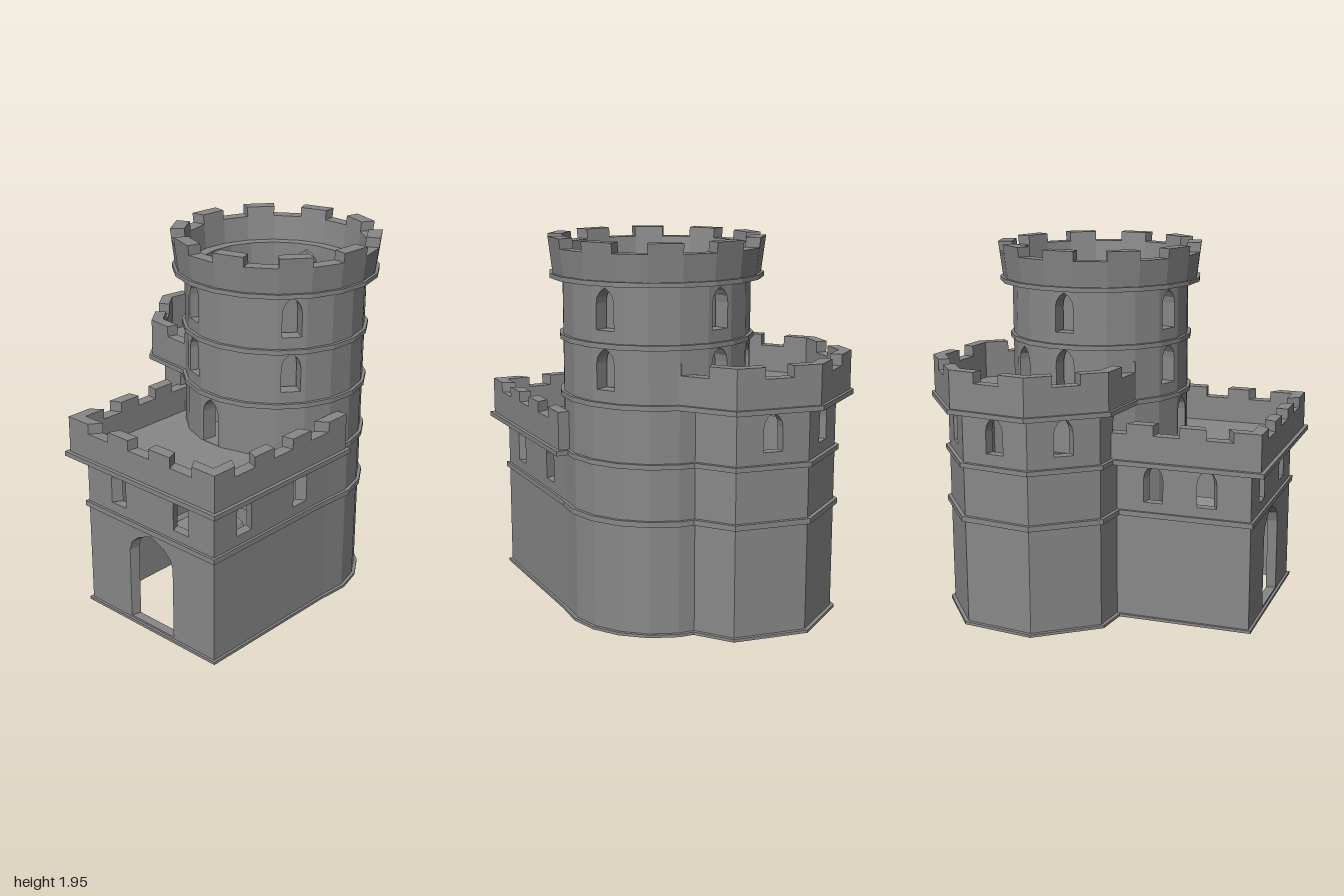
import * as THREE from 'three';

const material = new THREE.MeshStandardMaterial({ color: 0x888888, flatShading: true });
const CX = 0.285;                 // shared x of the round and octagonal towers
const C30 = Math.cos(Math.PI / 6);

// Plan outlines as [x, z], running left to right as seen from outside
const ngon = (n, r, cz) => Array.from({ length: n }, (_, i) => {
  const a = i / n * Math.PI * 2;
  return [CX + r * Math.cos(a), cz - r * Math.sin(a)];
});
const round = r => ngon(20, r, 0);
const octagon = r => ngon(8, r, -0.42);
const hallPoint = (u, v) => [C30 * u + 0.5 * v, -0.5 * u + C30 * v];
const hall = g => [
  hallPoint(-0.72 - g, 0.607 + g), hallPoint(0.148 + g, 0.607 + g),
  hallPoint(0.148 + g, -0.29 - g), hallPoint(-0.72 - g, -0.29 - g),
];

const mix = (a, b, t) => a + (b - a) * t;
const mix2 = (p, q, t) => [mix(p[0], q[0], t), mix(p[1], q[1], t)];

// Pointed-arch outline, as a hole or a shape
function arch(x, w, y0, y1, rise, path = new THREE.Path()) {
  const s = w / 2;
  path.moveTo(x - s, y0);
  path.lineTo(x - s, y1 - rise);
  path.quadraticCurveTo(x - s, y1 - rise * 0.35, x, y1);
  path.quadraticCurveTo(x + s, y1 - rise * 0.35, x + s, y1 - rise);
  path.lineTo(x + s, y0);
  path.closePath();
  return path;
}

// Closed recess behind an arched opening; rotY turns its +z outwards
function niche(name, [x, z], rotY, w, y0, y1, rise, depth) {
  const group = new THREE.Group();
  group.name = name;
  const t = 0.012;
  const outline = () => arch(0, w + 2 * t, y0 - t, y1 + t, rise, new THREE.Shape());
  const lining = outline();
  lining.holes.push(arch(0, w, y0, y1, rise));
  const add = (part, shape, from, length) => {
    const geo = new THREE.ExtrudeGeometry(shape, { depth: length, bevelEnabled: false, curveSegments: 3 });
    const mesh = new THREE.Mesh(geo.translate(0, 0, from), material);
    mesh.name = name + part;
    group.add(mesh);
  };
  add('Lining', lining, -depth, depth - 0.02);
  add('Back', outline(), -depth - t, t);
  group.position.set(x, 0, z);
  group.rotation.y = rotY;
  return group;
}

// A ring of mitred wall panels between an outer and an inner outline.
// tops(i) lists the heights of equal divisions of side i, holes(i, length) its openings.
function ring(name, outer, inner, y0, y1, { outerTop = outer, innerTop = inner, tops, holes } = {}) {
  const group = new THREE.Group();
  group.name = name;
  const n = outer.length;
  for (let i = 0; i < n; i++) {
    const j = (i + 1) % n;
    const len = Math.hypot(outer[j][0] - outer[i][0], outer[j][1] - outer[i][1]);
    const heights = tops ? tops(i) : [y1];
    const shape = new THREE.Shape();
    shape.moveTo(0, y0);
    shape.lineTo(len, y0);
    for (let k = heights.length - 1; k >= 0; k--) {
      shape.lineTo(len * (k + 1) / heights.length, heights[k]);
      shape.lineTo(len * k / heights.length, heights[k]);
    }
    shape.closePath();
    if (holes) shape.holes.push(...holes(i, len));
    const geo = new THREE.ExtrudeGeometry(shape, { depth: 1, bevelEnabled: false, curveSegments: 3 });
    const p = geo.attributes.position;
    for (let v = 0; v < p.count; v++) {
      const s = p.getX(v) / len, y = p.getY(v), d = p.getZ(v), k = (y - y0) / (y1 - y0);
      const o = mix2(mix2(outer[i], outer[j], s), mix2(outerTop[i], outerTop[j], s), k);
      const q = mix2(mix2(inner[i], inner[j], s), mix2(innerTop[i], innerTop[j], s), k);
      const [x, z] = mix2(q, o, d);
      p.setXYZ(v, x, y, z);
    }
    geo.computeVertexNormals();
    const mesh = new THREE.Mesh(geo, material);
    mesh.name = name + 'Panel';
    group.add(mesh);
  }
  return group;
}

// Flat floor or roof
function slab(name, points, y0, y1) {
  const shape = new THREE.Shape(points.map(([x, z]) => new THREE.Vector2(x, -z)));
  const geo = new THREE.ExtrudeGeometry(shape, { depth: y1 - y0, bevelEnabled: false });
  geo.rotateX(-Math.PI / 2).translate(0, y0, 0);
  const mesh = new THREE.Mesh(geo, material);
  mesh.name = name;
  return mesh;
}

// Alternating merlons and gaps
const battlement = (count, high, low) => () =>
  Array.from({ length: count }, (_, k) => (k % 2 ? low : high));

const BANDS = [[0, 0.015], [0.57, 0.598], [0.86, 0.885], [1.15, 1.175], [1.44, 1.465]];

export function createModel() {
  const model = new THREE.Group();
  model.name = 'castle';

  // Round tower, open from top to bottom, with doorways onto both lower roofs
  const tower = new THREE.Group();
  tower.name = 'roundTower';
  const windowRows = [[1.235, 1.44], [1.525, 1.73]];
  const doorways = { 4: [1.18, 1.42], 11: [0.89, 1.135] };
  tower.add(ring('towerWall', round(0.475), round(0.397), 0, 1.77, {
    holes: (i, len) => {
      if (doorways[i]) return [arch(len / 2, 0.11, ...doorways[i], 0.08)];
      return i % 4 === 2 ? windowRows.map(row => arch(len / 2, 0.1, ...row, 0.08)) : [];
    },
  }));
  for (let i = 2; i < 20; i += 4) {
    const a = (i + 0.5) / 20 * Math.PI * 2;
    const at = [CX + 0.469 * Math.cos(a), -0.469 * Math.sin(a)];
    for (const row of windowRows) {
      tower.add(niche('windowNiche', at, a + Math.PI / 2, 0.1, ...row, 0.08, 0.09));
    }
  }
  for (const [a, b] of BANDS) tower.add(ring('towerBand', round(0.492), round(0.45), a, b));
  tower.add(ring('towerCornice', round(0.54), round(0.45), 1.745, 1.768));
  tower.add(ring('towerParapet', round(0.525), round(0.455), 1.768, 1.95, {
    outerTop: round(0.548), innerTop: round(0.474), tops: i => [i % 2 ? 1.9 : 1.95],
  }));
  model.add(tower);

  // Octagonal tower behind it
  const oct = new THREE.Group();
  oct.name = 'octagonalTower';
  oct.add(ring('octagonWall', octagon(0.497), octagon(0.44), 0, 1.17, {
    holes: (i, len) => i < 5 ? [arch(len / 2, 0.1, 0.945, 1.14, 0.08)] : [],
  }));
  for (const [a, b] of BANDS.slice(0, 3)) oct.add(ring('octagonBand', octagon(0.518), octagon(0.47), a, b));
  oct.add(ring('octagonCornice', octagon(0.584), octagon(0.46), 1.15, 1.175));
  oct.add(ring('octagonParapet', octagon(0.567), octagon(0.502), 1.175, 1.375,
    { tops: battlement(3, 1.375, 1.318) }));
  oct.add(slab('octagonFloor', octagon(0.49), 0, 0.014));
  oct.add(slab('octagonRoof', octagon(0.51), 1.155, 1.178));
  model.add(oct);

  // Square hall turned thirty degrees, open underneath
  const keep = new THREE.Group();
  keep.name = 'hall';
  const windowsAt = [[0.217, 0.644], [], [0.345, 0.635], [0.23, 0.675]];
  const entrance = [0.31, 0.025, 0.55, 0.13];
  keep.add(ring('hallWall', hall(0), hall(-0.05), 0, 0.88, {
    holes: i => [
      ...windowsAt[i].map(s => arch(s, 0.105, 0.65, 0.855, 0.08)),
      ...(i === 3 ? [arch(0.457, ...entrance)] : []),
    ],
  }));
  for (const [a, b] of BANDS.slice(0, 2)) keep.add(ring('hallBand', hall(0.014), hall(-0.02), a, b));
  keep.add(ring('hallCornice', hall(0.082), hall(-0.03), 0.86, 0.885));
  keep.add(ring('hallParapet', hall(0.062), hall(0), 0.885, 1.08, { tops: battlement(7, 1.08, 1.025) }));
  keep.add(slab('hallRoof', hall(0.01), 0.865, 0.888));

  // Deep entrance passage leading towards the round tower
  keep.add(niche('entrancePassage', hallPoint(-0.72, 0.167), -Math.PI / 3, ...entrance, 0.65));
  model.add(keep);

  return model;
}
